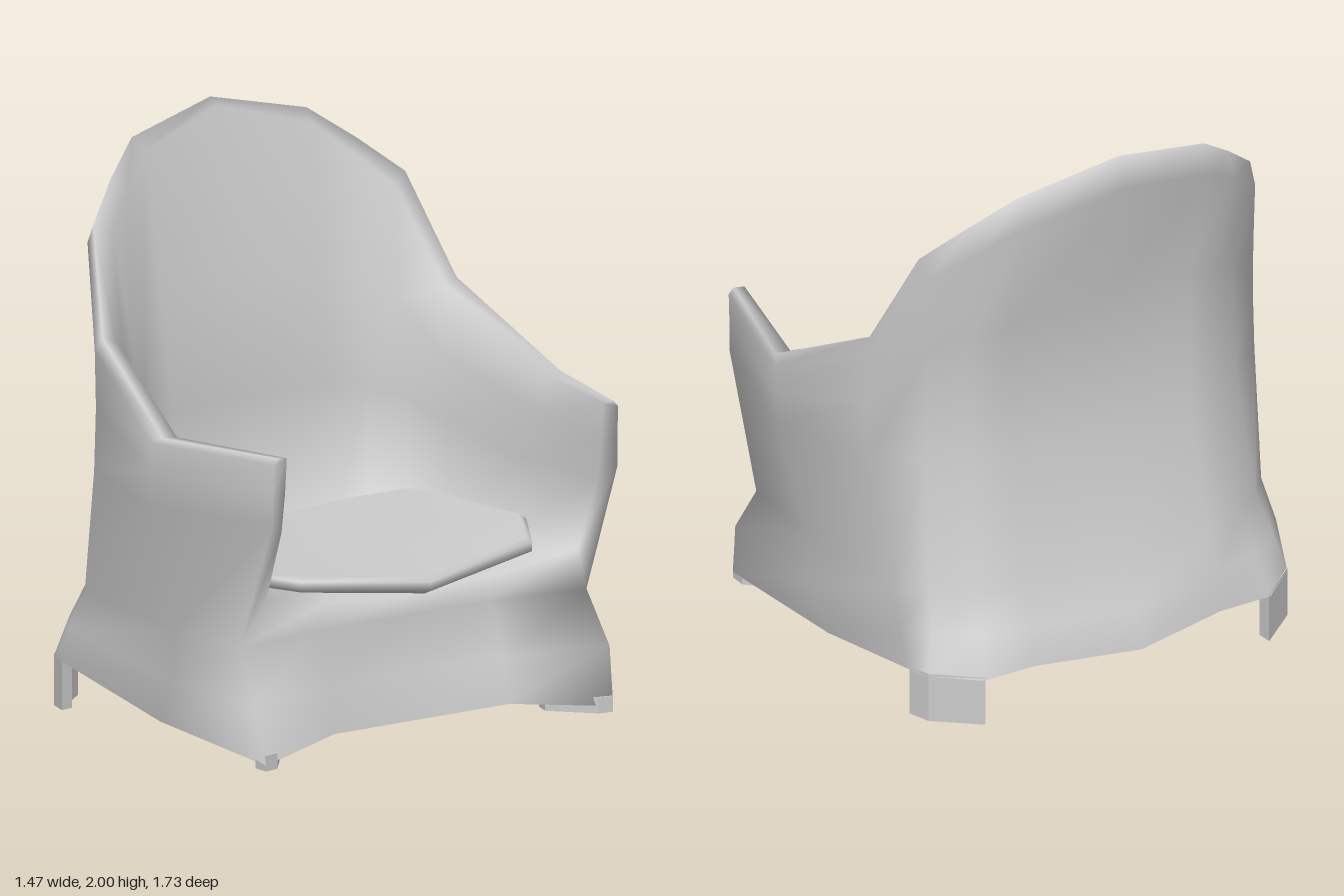
import * as THREE from 'three';

const material = new THREE.MeshStandardMaterial({ color: 0xcccccc, side: THREE.DoubleSide });

// Collects vertices shared by position, so that shading stays smooth across strips
class Surface {
  constructor() { this.pos = []; this.idx = []; this.seen = new Map(); }
  vertex(p) {
    const key = p.map(v => v.toFixed(4) * 1 + 0).join();
    if (!this.seen.has(key)) {
      this.seen.set(key, this.pos.length / 3);
      this.pos.push(...p);
    }
    return this.seen.get(key);
  }
  tri(a, b, c) {
    const t = [a, b, c].map(p => this.vertex(p));
    if (new Set(t).size === 3) this.idx.push(...t);
  }
  // Skin a list of columns, each a list of points running upward
  loft(cols) {
    for (let i = 0; i + 1 < cols.length; i++) {
      for (let j = 0; j + 1 < cols[i].length; j++) {
        const [a, b, c, d] = [cols[i][j], cols[i + 1][j], cols[i + 1][j + 1], cols[i][j + 1]];
        this.tri(a, b, c);
        this.tri(a, c, d);
      }
    }
  }
  // Fill a closed loop from a middle point
  fan(center, loop, up) {
    loop.forEach((p, i) => {
      const q = loop[(i + 1) % loop.length];
      if (up) this.tri(center, p, q); else this.tri(center, q, p);
    });
  }
  mesh(name) {
    const g = new THREE.BufferGeometry();
    g.setAttribute('position', new THREE.Float32BufferAttribute(this.pos, 3));
    g.setIndex(this.idx);
    g.computeVertexNormals();
    return named(g, name);
  }
}

function named(geometry, name) {
  const m = new THREE.Mesh(geometry, material);
  m.name = name;
  return m;
}

const flip = ([x, y, z]) => [x, y, -z];

// Level lines from the middle of the back, round one side, to the arm front
const levels = {
  hem:      [[-.735, .17, 0], [-.645, .17, .37], [-.645, .17, .57], [-.52, .17, .715], [-.43, .17, .745], [.1, .06, .73], [.70, .02, .735]],
  flare:    [[-.69, .31, 0], [-.63, .31, .37], [-.58, .31, .55], [-.48, .31, .68], [-.39, .30, .75], [.2, .22, .755], [.66, .22, .75]],
  waist:    [[-.60, .44, 0], [-.57, .44, .37], [-.52, .44, .52], [-.42, .44, .65], [-.32, .43, .735], [.2, .40, .745], [.55, .40, .735]],
  middle:   [[-.49, .90, 0], [-.47, .90, .36], [-.43, .90, .49], [-.34, .90, .62], [-.22, .88, .77], [.21, .85, .86], [.73, .86, .73]],
  upper:    [[-.48, 1.41, 0], [-.46, 1.38, .36], [-.42, 1.35, .49], [-.34, 1.30, .61], [-.21, 1.1, .77], [.22, .97, .865], [.73, .97, .73]],
  edge:     [[-.64, 1.90, 0], [-.58, 1.82, .37], [-.51, 1.73, .51], [-.41, 1.62, .655], [-.23, 1.29, .76], [.22, 1.07, .865], [.735, 1.07, .73]],
  rim:      [[-.59, 2.0, 0], [-.54, 1.92, .37], [-.46, 1.81, .52], [-.37, 1.69, .66], [-.2, 1.34, .75], [.26, 1.09, .84], [.735, 1.09, .71]],
  lip:      [[-.555, 1.975, 0], [-.49, 1.88, .35], [-.42, 1.77, .48], [-.34, 1.65, .60], [-.19, 1.32, .70], [.26, 1.085, .78], [.73, 1.085, .67]],
  inUpper:  [[-.44, 1.40, 0], [-.41, 1.37, .34], [-.36, 1.34, .45], [-.28, 1.27, .56], [-.17, 1.10, .66], [.25, .96, .75], [.72, .96, .67]],
  inMiddle: [[-.39, 1.0, 0], [-.35, 1.0, .34], [-.30, .98, .45], [-.23, .95, .55], [-.12, .88, .64], [.25, .80, .71], [.70, .82, .67]],
  inBase:   [[-.40, .50, 0], [-.35, .50, .34], [-.30, .51, .46], [-.24, .52, .57], [-.12, .53, .63], [.25, .54, .66], [.60, .56, .66]],
};

// Front apron columns, from beside the corner to the middle
const apron = [
  [[.60, .06, .37], [.57, .22, .37], [.50, .40, .37], [.54, .50, .37]],
  [[.60, .06, 0], [.56, .22, 0], [.50, .40, 0], [.54, .48, 0]],
];

function buildBody(group) {
  const rows = Object.values(levels);
  const half = rows[0].map((_, i) => rows.map(r => r[i]));
  const cols = [...half.slice(1).reverse().map(c => c.map(flip)), ...half];
  const body = new Surface();
  body.loft(cols);

  // Rounded arm fronts, closing the outer skin to the inner one
  const front = half[half.length - 1];
  const outer = front.slice(2, 7);
  const inner = front.slice(6).reverse();
  body.loft([outer, inner]);
  body.loft([inner.map(flip), outer.map(flip)]);

  // Apron under the seat
  const corner = [...front.slice(0, 3), front[10]];
  const apronHalf = [corner, apron[0]];
  const apronCols = [...apronHalf, apron[1], ...apronHalf.slice().reverse().map(c => c.map(flip))];
  body.loft(apronCols);

  // Deck under the cushion, flowing into the walls and the apron
  const between = apronCols.slice(1, -1);
  body.fan([.1, .47, 0], [...cols.map(c => c[10]), ...between.map(c => c[3])], true);
  group.add(body.mesh('upholsteredShell'));

  const under = new Surface();
  under.fan([.1, .06, 0], [...cols.map(c => c[0]), ...between.map(c => c[0])], false);
  group.add(under.mesh('underside'));
}

// Thin cushion, sagging toward the middle line
function buildCushion() {
  const half = [[-.39, 0], [-.34, .35], [-.24, .60], [-.04, .625], [.33, .645], [.57, .49], [.65, 0]];
  const outline = [...half, ...half.slice(1, -1).reverse().map(([x, z]) => [x, -z])];
  const profile = [[.95, -.06], [1, -.045], [1, -.015], [.97, 0]];
  const cols = outline.map(([x, z]) =>
    profile.map(([s, dy]) => [x * s, .56 + .11 * Math.abs(z) + dy, z * s]));
  const cushion = new Surface();
  cushion.loft([...cols, cols[0]]);
  cushion.fan([.1, .56, 0], cols.map(c => c[3]), true);
  cushion.fan([.1, .50, 0], cols.map(c => c[0]), false);
  return cushion.mesh('seatCushion');
}

// Upright foot from a floor outline of x, z points
function buildFoot(plan, side, height, name) {
  const shape = new THREE.Shape(plan.map(([x, z]) => new THREE.Vector2(x, -z * side)));
  const g = new THREE.ExtrudeGeometry(shape, { depth: height, bevelEnabled: false });
  g.rotateX(-Math.PI / 2);
  return named(g, name);
}

export function createModel() {
  const group = new THREE.Group();
  group.name = 'armchair';
  buildBody(group);
  group.add(buildCushion());
  const frontPlan = [[.49, .58], [.55, .56], [.69, .68], [.70, .735], [.64, .735]];
  const backPlan = [[-.645, .565], [-.52, .715], [-.44, .74], [-.45, .69], [-.51, .66], [-.59, .56]];
  for (const side of [1, -1]) {
    const label = side > 0 ? 'Left' : 'Right';
    group.add(buildFoot(frontPlan, side, .055, 'frontFoot' + label));
    group.add(buildFoot(backPlan, side, .18, 'backFoot' + label));
  }
  return group;
}
